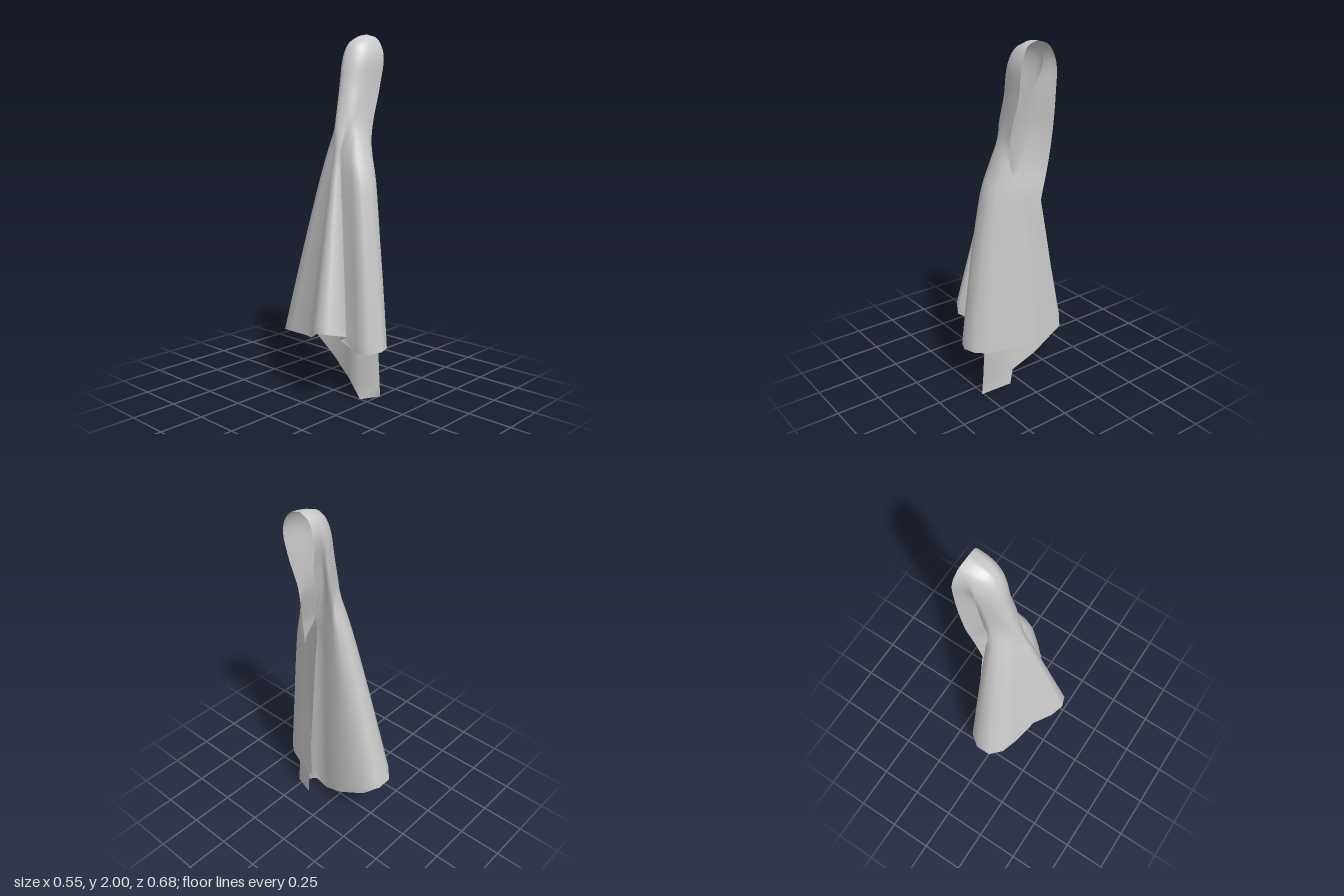
import * as THREE from 'three';
import { mergeVertices } from 'three/addons/utils/BufferGeometryUtils.js';

// Hem of the cloth, from the front edge round the folds to the tail: x, y, z
const HEM = [
  .245, .33, 0, .195, .31, .14, .14, .30, .26, .09, .30, .315, .02, .30, .338, -.05, .29, .305,
  -.07, .29, .23, -.005, .31, .055, -.085, .35, .145, -.17, .41, .25, -.26, .43, .20, -.28, .43, .14,
  -.25, .385, .07, -.18, .36, -.03, -.15, .345, -.18, -.115, .33, -.28, -.05, .31, -.34, .04, .31, -.34,
  .115, .28, -.28, .105, .16, -.10, .07, .07, .05, 0, 0, .20, .09, .01, .27, .16, .06, .12,
];
// Gathered neck below the hood: x, z
const NECK_Y = 1.35;
const NECK = [
  .165, .12, .155, .145, .13, .165, .10, .173, .06, .17, .02, .155,
  0, .125, .01, .055, -.01, .065, -.035, .08, -.045, .07, -.045, .055,
  -.04, .04, -.03, .02, -.02, -.015, -.003, -.05, .03, -.075, .07, -.083,
  .11, -.075, .107, -.035, .085, .03, .075, .09, .15, .045, .24, -.06,
];
// Hood sections: edge height, back height, front edge x, rear edge x, back x, centre z, half width, rear fold depth
const HOOD = [
  [2.0, 1.92, .25, .25, .095, .025, 0, 0],
  [1.975, 1.89, .255, .258, .08, .025, .064, 0],
  [1.89, 1.83, .262, .27, .058, .025, .103, .015],
  [1.72, 1.7, .235, .272, .03, .025, .102, .06],
  [1.52, 1.52, .175, .26, -.01, .03, .1, .11],
];
const COLUMNS = HEM.length / 3;
const FOLD_COLUMN = 21;
const lerp = THREE.MathUtils.lerp;

// U-shaped hood section, open towards +x, with a slanting rear side that has a fold pressed into it
function hoodPoint([yEdge, yBack, xFront, xRear, xBack, zMid, width, depth], i) {
  const s = 1 - 2 * i / (COLUMNS - 1), a = Math.abs(s);
  const fold = depth * Math.max(0, 1 - Math.abs(i - FOLD_COLUMN) / 2);
  const side = Math.sign(s) * (1 - (1 - a) ** (s > 0 ? 2.5 : 1.6));
  return new THREE.Vector3(
    lerp(xBack, s > 0 ? xFront : xRear, a ** 1.6) - fold * 0.9,
    lerp(yBack, yEdge, 1 - (1 - a) ** 1.8),
    zMid + width * side + fold);
}

// How early a column spreads from neck to hem: lower is earlier
function spread(i) {
  if (i === 0) return 0.45;
  if (i < 7) return 0.65;
  if (i === 21 || i === 22) return 0.45;
  return 0.93;
}

// Skirt point between neck (t = 0) and hem (t = 1)
function skirtPoint(i, t) {
  const w = t ** spread(i);
  return new THREE.Vector3(
    lerp(NECK[2 * i], HEM[3 * i], w),
    lerp(NECK_Y, HEM[3 * i + 1], t),
    lerp(NECK[2 * i + 1], HEM[3 * i + 2], w));
}

function clothGeometry(rows) {
  // One smooth curve down each column
  const columns = [];
  for (let i = 0; i < COLUMNS; i++) {
    const points = HOOD.map(section => hoodPoint(section, i));
    for (const t of [0, .12, .28, .5, .75, 1]) points.push(skirtPoint(i, t));
    columns.push(new THREE.CatmullRomCurve3(points).getPoints(rows));
  }
  // Join neighbouring columns
  const positions = columns.flat().flatMap(p => p.toArray());
  const index = [];
  for (let c = 0; c < COLUMNS - 1; c++) {
    for (let r = 0; r < rows; r++) {
      const a = c * (rows + 1) + r, b = a + rows + 1;
      index.push(a, b, a + 1, b, b + 1, a + 1);
    }
  }
  let geometry = new THREE.BufferGeometry();
  geometry.setAttribute('position', new THREE.Float32BufferAttribute(positions, 3));
  geometry.setIndex(index);
  // Close the two halves along the top fold
  geometry = mergeVertices(geometry, 1e-4);
  geometry.computeVertexNormals();
  return geometry;
}

export function createModel() {
  const group = new THREE.Group();
  group.name = 'hangingCloth';
  const material = new THREE.MeshStandardMaterial({ color: 0xcccccc, side: THREE.DoubleSide });
  const cloth = new THREE.Mesh(clothGeometry(50), material);
  cloth.name = 'drapedCloth';
  group.add(cloth);
  return group;
}
